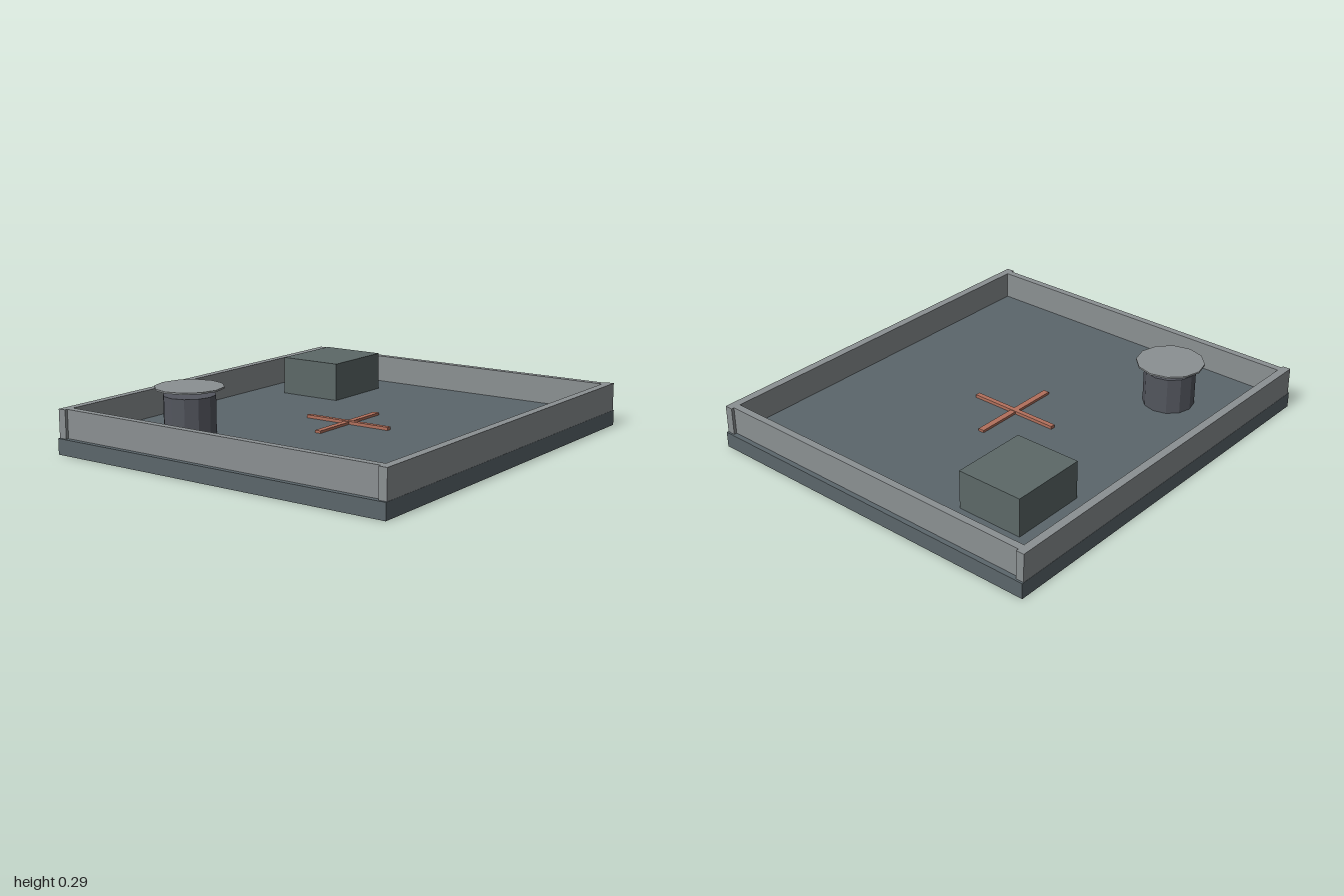
import * as THREE from 'three';

export function createModel() {
  const model = new THREE.Group();
  const material = (name, color) => {
    const m = new THREE.MeshStandardMaterial({ color, flatShading: true });
    m.name = name;
    return m;
  };
  const slate = material('slate', 0x5b666b);
  const paleGrey = material('pale grey', 0x8b9092);
  const boxGrey = material('box grey', 0x5c6867);
  const darkGrey = material('dark grey', 0x53565e);
  const copper = material('copper', 0xb2705c);

  const add = (name, geometry, mat, x, y, z) => {
    const mesh = new THREE.Mesh(geometry, mat);
    mesh.name = name;
    mesh.position.set(x, y, z);
    model.add(mesh);
  };
  // Box resting on height y0
  const box = (name, mat, w, h, d, x, y0, z) =>
    add(name, new THREE.BoxGeometry(w, h, d), mat, x, y0 + h / 2, z);

  // Base slab
  const floor = 0.075;
  box('baseSlab', slate, 2, floor, 1.78, 0, 0, 0);

  // Low parapet around the edge
  for (const s of [-1, 1]) {
    box(s > 0 ? 'frontParapet' : 'backParapet', paleGrey, 1.98, 0.135, 0.04, 0, floor, s * 0.869);
    box(s > 0 ? 'leftParapet' : 'rightParapet', paleGrey, 0.035, 0.135, 1.7, s * 0.958, floor, 0);
  }

  // Equipment box
  box('equipmentBox', boxGrey, 0.38, 0.187, 0.33, 0.576, floor, -0.513);

  // Vent pipe with a cap floating just above it
  add('ventPipe', new THREE.CylinderGeometry(0.123, 0.123, 0.177, 12), darkGrey, -0.558, floor + 0.0885, -0.49);
  add('ventCap', new THREE.CylinderGeometry(0.162, 0.162, 0.008, 12), paleGrey, -0.558, 0.286, -0.49);

  // Floor cross
  box('crossBarWide', copper, 0.475, 0.012, 0.03, 0, floor, 0);
  box('crossBarDeep', copper, 0.024, 0.015, 0.465, 0, floor, 0);

  return model;
}
